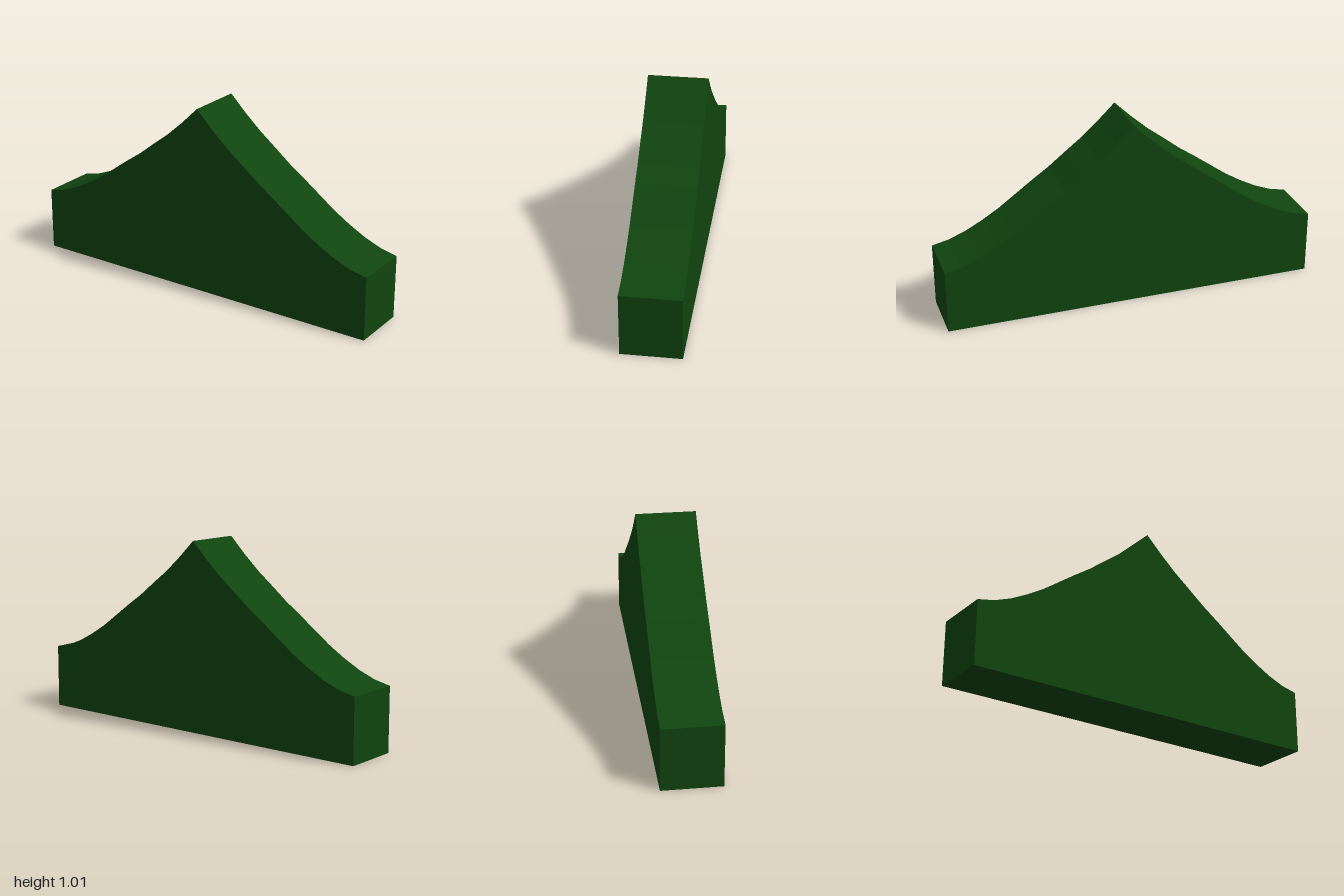
import * as THREE from 'three';

export function createModel() {
  const group = new THREE.Group();
  const depth = 0.31;

  // Heights of the swept slope, evenly spaced from peak to end
  const heights = [1.007, 0.918, 0.837, 0.767, 0.695, 0.632, 0.566, 0.5, 0.444, 0.396, 0.36, 0.34];
  const slope = heights.map((y, i) => [i / (heights.length - 1), y]);

  // Symmetric outline: base, right slope up to the peak, mirrored slope down
  const outline = [
    [-1, 0], [1, 0],
    ...slope.slice().reverse(),
    ...slope.slice(1).map(([x, y]) => [-x, y]),
  ].map(([x, y]) => new THREE.Vector2(x, y));

  const geometry = new THREE.ExtrudeGeometry(new THREE.Shape(outline), { depth, bevelEnabled: false });
  geometry.translate(0, 0, -depth / 2);

  const material = new THREE.MeshStandardMaterial({ color: 0x10450f, flatShading: true });
  const ridge = new THREE.Mesh(geometry, material);
  ridge.name = 'peakedRidge';
  group.add(ridge);
  return group;
}
